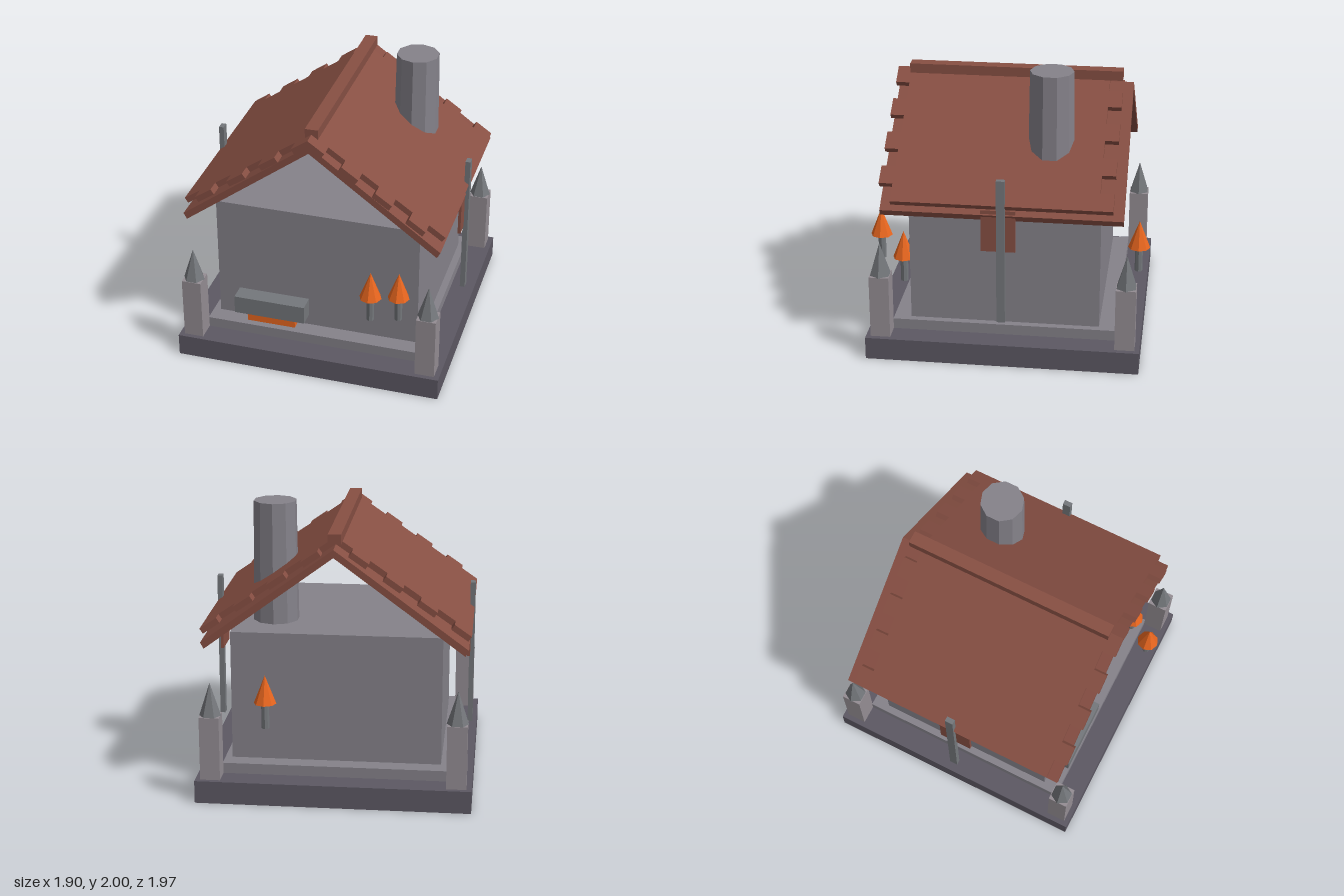
import * as THREE from 'three';

const mat = (color) => new THREE.MeshStandardMaterial({ color, flatShading: true });

export function createModel() {
  const model = new THREE.Group();
  const wallGrey = mat(0x85828a), stone = mat(0x5c5863), postGrey = mat(0x948d93);
  const metal = mat(0x74777b), brown = mat(0x874f43), orange = mat(0xe8661f);

  const add = (name, geometry, material, x, y, z, parent = model) => {
    const mesh = new THREE.Mesh(geometry, material);
    mesh.name = name;
    mesh.position.set(x, y, z);
    parent.add(mesh);
    return mesh;
  };
  // box given by its limits on each axis
  const box = (name, material, x0, x1, y0, y1, z0, z1) =>
    add(name, new THREE.BoxGeometry(x1 - x0, y1 - y0, z1 - z0), material,
      (x0 + x1) / 2, (y0 + y1) / 2, (z0 + z1) / 2);

  // base, step and house body
  box('base', stone, -0.95, 0.95, 0, 0.16, -0.95, 0.95);
  box('step', wallGrey, -0.78, 0.78, 0.16, 0.235, -0.78, 0.78);
  box('walls', wallGrey, -0.73, 0.73, 0.235, 1.15, -0.66, 0.66);

  // corner posts with pointed caps
  for (const sx of [-1, 1]) for (const sz of [-1, 1]) {
    const post = new THREE.Group();
    post.name = 'cornerPost';
    post.position.set(sx * 0.845, 0, sz * 0.848);
    add('postShaft', new THREE.BoxGeometry(0.138, 0.45, 0.138), postGrey, 0, 0.385, 0, post);
    const cap = add('postCap', new THREE.ConeGeometry(0.076, 0.235, 6), metal, 0, 0.725, 0, post);
    cap.rotation.y = Math.PI / 6;
    model.add(post);
  }

  // lower roof layer: a chevron extruded along z
  const chevron = new THREE.Shape([
    [0, 1.73], [0.885, 1.075], [0.908, 1.118], [0, 1.785], [-0.908, 1.118], [-0.885, 1.075],
  ].map(([x, y]) => new THREE.Vector2(x, y)));
  add('lowerRoof', new THREE.ExtrudeGeometry(chevron, { depth: 1.645, bevelEnabled: false }),
    brown, 0, 0, -0.82);

  // upper roof layer: planks staggered front to back
  const pitch = Math.atan(0.695), rows = 8, thick = 0.042;
  const plankWidth = 0.924 / Math.cos(pitch) / rows;
  const plankShape = new THREE.BoxGeometry(plankWidth, thick, 1.5);
  for (const side of [-1, 1]) {
    for (let i = 0; i < rows; i++) {
      const s = (i + 0.5) * plankWidth;
      const x = s * Math.cos(pitch) - Math.sin(pitch) * thick / 2;
      const y = 1.836 - s * Math.sin(pitch) - Math.cos(pitch) * thick / 2;
      const plank = add('roofPlank', plankShape, brown, side * x, y, i % 2 ? 0 : 0.095);
      plank.rotation.z = -side * pitch;
    }
  }
  box('ridgeCap', brown, -0.045, 0.045, 1.805, 1.873, -0.745, 0.755);

  // chimney
  add('chimney', new THREE.CylinderGeometry(0.15, 0.162, 0.85, 10), wallGrey, 0.46, 1.575, -0.292);

  // side poles and hanging panels
  for (const side of [-1, 1]) {
    add('sidePole', new THREE.BoxGeometry(0.036, 1.045, 0.058), metal, side * 0.91, 0.853, 0.002);
    add('hangingPanel', new THREE.BoxGeometry(0.02, 0.3, 0.235), brown, side * 0.89, 1.0, 0.022);
  }

  // front ledge
  box('ledge', metal, -0.578, -0.062, 0.32, 0.453, 0.64, 0.78);
  box('ledgeTrim', orange, -0.494, -0.142, 0.247, 0.305, 0.64, 0.748);

  // small cone trees: x, bottom y, z
  for (const [x, y, z] of [[0.455, 0.555, 0.91], [0.455, 0.555, -0.91], [0.606, 0.457, 0.725]]) {
    const tree = new THREE.Group();
    tree.name = 'tree';
    tree.position.set(x, y, z);
    add('trunk', new THREE.CylinderGeometry(0.027, 0.027, 0.18, 8), metal, 0, 0.09, 0, tree);
    add('foliage', new THREE.ConeGeometry(0.077, 0.197, 8), orange, 0, 0.276, 0, tree);
    model.add(tree);
  }
  return model;
}
